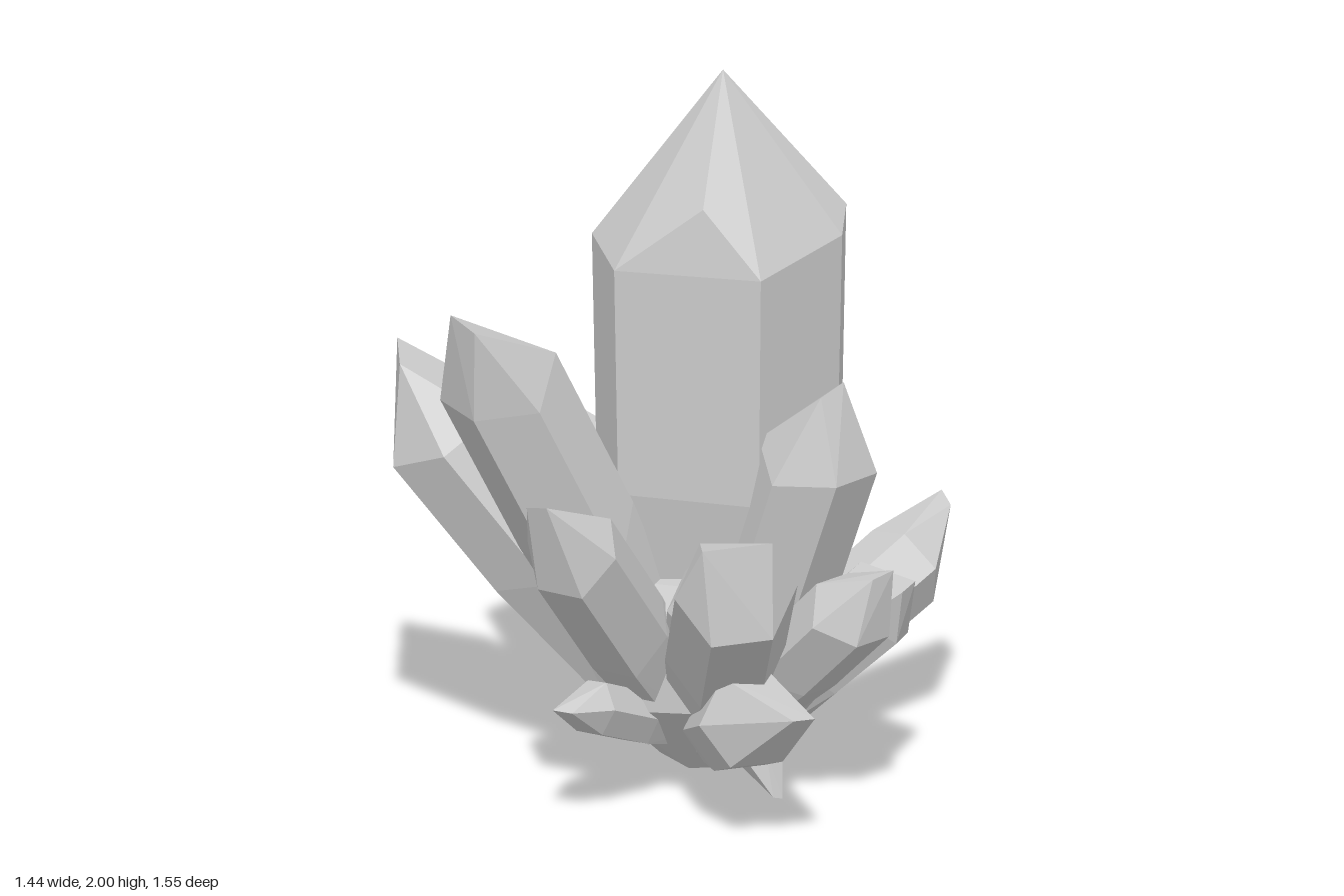
import * as THREE from 'three';
import { ConvexGeometry } from 'three/addons/geometries/ConvexGeometry.js';

const material = new THREE.MeshStandardMaterial({ color: 0xcccccc, flatShading: true });
const UP = new THREE.Vector3(0, 1, 0);
const V = (a) => new THREE.Vector3(a[0], a[1], a[2]);

function hull(name, points) {
  const mesh = new THREE.Mesh(new ConvexGeometry(points), material);
  mesh.name = name;
  return mesh;
}

// Ring of points around an axis, with a small regular unevenness along it
function ring(center, axis, radius, sides, turn, uneven) {
  const q = new THREE.Quaternion().setFromUnitVectors(UP, axis);
  return Array.from({ length: sides }, (_, i) => {
    const a = turn + (i / sides) * Math.PI * 2;
    const p = new THREE.Vector3(Math.cos(a), uneven * Math.sin(i * 2.4 + turn * 3), Math.sin(a));
    return p.multiplyScalar(radius).applyQuaternion(q).add(center);
  });
}

// Shard: narrow root, full middle, shoulder with a flat side outwards, blunt ridge for a tip
function shard(name, shoulder, tip, radius, ridge) {
  const c = V(shoulder);
  const root = new THREE.Vector3(0.04, 0.15, 0);
  root.add(new THREE.Vector3(c.x, 0, c.z).setLength(0.08));
  const axis = c.clone().sub(root).normalize();
  const turn = Math.atan2(c.z, c.x) + Math.PI / 6;
  const sideways = new THREE.Vector3(-c.z, 0, c.x).normalize();
  return hull(name, [
    ...ring(root, axis, Math.min(0.11, radius * 0.65), 6, turn, 0),
    ...ring(root.clone().lerp(c, 0.55), axis, radius * 0.98, 6, turn, 0.3),
    ...ring(c, axis, radius, 6, turn, 0.22),
    V(tip), V(tip).lerp(c, 0.1).addScaledVector(sideways, ridge),
  ]);
}

export function createModel() {
  const model = new THREE.Group();
  model.name = 'crystalCluster';

  // Central column: uneven shoulder loop, slightly narrower waist, small foot
  const shoulder = [
    [-0.22, 1.52, 0.17], [-0.04, 1.49, 0.29], [0.17, 1.68, 0.17], [0.33, 1.5, 0.12],
    [0.335, 1.54, -0.21], [0.29, 1.6, -0.28], [0.04, 1.52, -0.31], [-0.2, 1.5, -0.14],
  ].map(V);
  const axisX = 0.06;
  const loop = (y, s) => shoulder.map((p) =>
    new THREE.Vector3(axisX + (p.x - axisX) * s, y, p.z * s));
  model.add(hull('mainCrystal', [
    new THREE.Vector3(0.07, 2, -0.03), ...shoulder, ...loop(0.85, 0.96), ...loop(0.1, 0.4),
  ]));

  // Rough base that ties the shards together
  model.add(hull('baseRock', [
    ...ring(new THREE.Vector3(0.06, 0.06, 0), UP, 0.14, 6, 0.3, 0),
    ...ring(new THREE.Vector3(0.08, 0.3, 0.03), UP, 0.34, 8, 0.2, 0.12),
    ...ring(new THREE.Vector3(0.05, 0.58, 0.03), UP, 0.31, 7, 0.5, 0.15),
  ]));

  // name, shoulder centre, tip, radius, sideways length of the tip ridge
  const shards = [
    ['frontTallShard', [-0.2, 1.2, 0.56], [-0.24, 1.44, 0.73], 0.17, -0.1],
    ['frontShard', [0.1, 0.81, 0.62], [0.13, 0.99, 0.77], 0.135, 0.07],
    ['frontRightShard', [-0.53, 0.94, 0.41], [-0.69, 1.18, 0.42], 0.17, -0.13],
    ['frontLeftShard', [0.54, 0.76, 0.47], [0.66, 0.93, 0.46], 0.165, 0.18],
    ['rightShard', [-0.54, 0.75, -0.06], [-0.72, 0.92, -0.12], 0.18, -0.15],
    ['backRightShard', [-0.2, 0.9, -0.38], [-0.34, 1.1, -0.52], 0.18, 0.08],
    ['backSmallShard', [-0.04, 0.64, -0.41], [-0.04, 0.75, -0.55], 0.14, -0.07],
    ['backShard', [0.24, 0.48, -0.6], [0.2, 0.62, -0.78], 0.125, 0.07],
    ['leftTallShard', [0.43, 0.98, 0.01], [0.51, 1.22, -0.01], 0.165, 0.08],
    ['leftLowShard', [0.59, 0.6, 0.06], [0.71, 0.74, 0.02], 0.12, 0.06],
    ['backLeftShard', [0.47, 0.52, -0.18], [0.6, 0.62, -0.2], 0.13, 0.07],
    ['frontLeftLowShard', [0.5, 0.36, 0.36], [0.7, 0.42, 0.42], 0.14, -0.07],
    ['frontLowShard', [0.06, 0.33, 0.5], [0.05, 0.36, 0.65], 0.08, -0.05],
    ['bottomChip', [0.27, 0.09, 0.02], [0.33, 0, 0.03], 0.06, 0.03],
    ['innerRightShard', [-0.22, 0.7, 0.03], [-0.27, 0.85, 0], 0.12, -0.1],
    ['innerFrontShard', [0.28, 0.6, 0.25], [0.29, 0.77, 0.3], 0.13, -0.07],
  ];
  for (const s of shards) model.add(shard(...s));

  return model;
}
